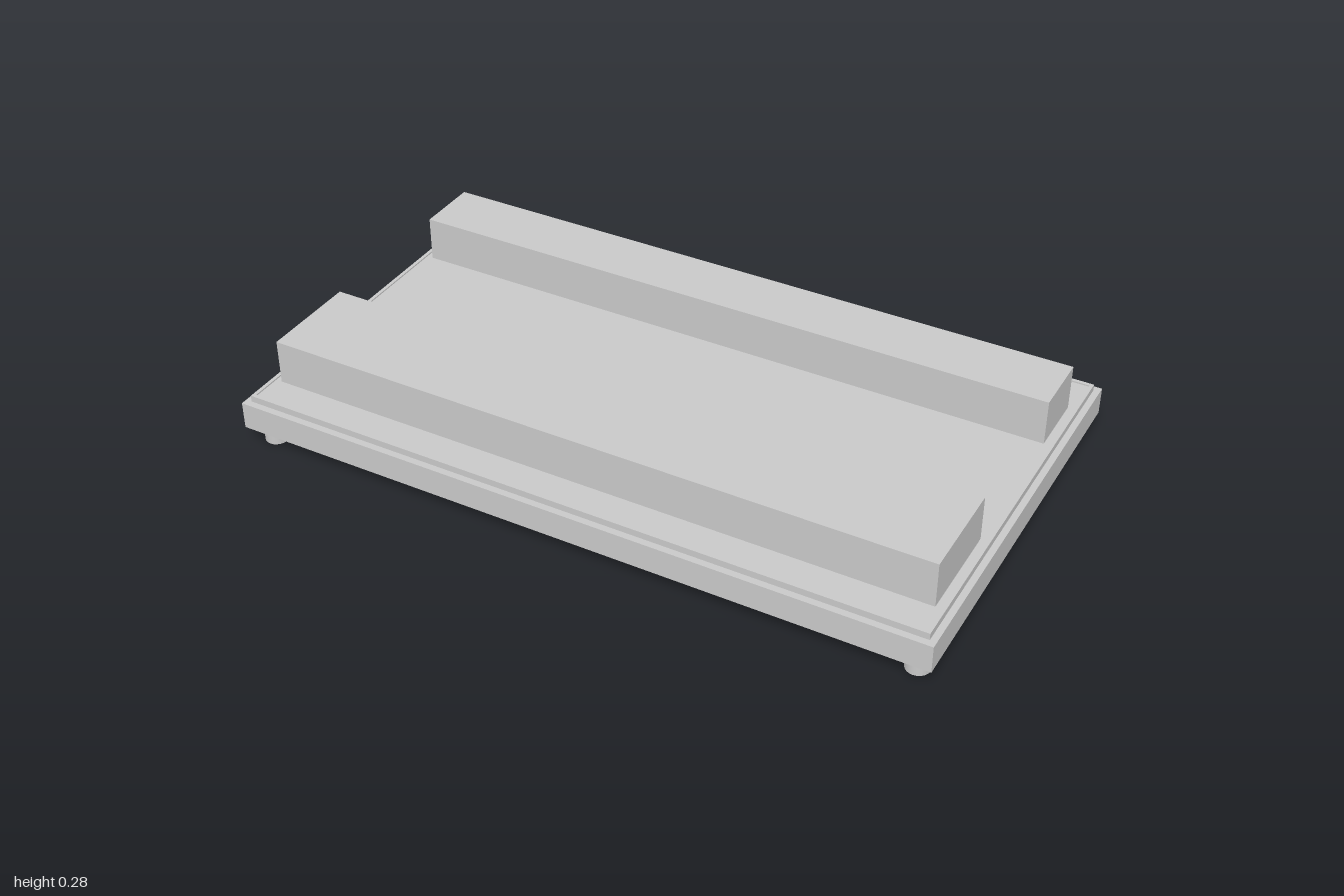
import * as THREE from 'three';

export function createModel() {
  const model = new THREE.Group();
  const grey = new THREE.MeshStandardMaterial({ color: 0xc8c8c8 });
  grey.name = 'light grey';

  const add = (name, geometry, x, y, z) => {
    const mesh = new THREE.Mesh(geometry, grey);
    mesh.name = name;
    mesh.position.set(x, y, z);
    model.add(mesh);
    return mesh;
  };
  // Box given by its width and its y and z ranges
  const box = (name, w, y0, y1, z0, z1, x = 0) =>
    add(name, new THREE.BoxGeometry(w, y1 - y0, z1 - z0), x, (y0 + y1) / 2, (z0 + z1) / 2);

  // Chassis slab and the raised deck on it
  box('base', 2, 0.054, 0.133, -0.585, 0.585);
  box('deck', 1.962, 0.133, 0.148, -0.565, 0.565);

  // Narrow raised rim around the deck
  const rectangle = (Type, w, d) => new Type().setFromPoints([
    new THREE.Vector2(-w, -d), new THREE.Vector2(w, -d),
    new THREE.Vector2(w, d), new THREE.Vector2(-w, d)
  ]);
  const rimShape = rectangle(THREE.Shape, 0.982, 0.566);
  rimShape.holes.push(rectangle(THREE.Path, 0.972, 0.556));
  const rim = new THREE.ExtrudeGeometry(rimShape, { depth: 0.019, bevelEnabled: false });
  rim.rotateX(-Math.PI / 2);
  add('deckRim', rim, 0, 0.133, 0);

  // Long blocks across the deck
  box('frontBlock', 1.908, 0.148, 0.277, 0.185, 0.469);
  box('rearBlock', 1.908, 0.148, 0.279, -0.438, -0.255);

  // Row of tall and short markers on the back of the rear block
  [...'0111011001101'].forEach((mark, i) => {
    const x = -0.912 + i * 0.152;
    if (mark === '1') box('tallMarker', 0.007, 0.197, 0.243, -0.443, -0.438, x);
    else box('shortMarker', 0.007, 0.224, 0.231, -0.443, -0.438, x);
  });

  // Small button on the rear deck
  box('button', 0.012, 0.148, 0.158, -0.526, -0.51, -0.89);

  // Four round feet
  for (const x of [-0.945, 0.945]) {
    for (const z of [-0.525, 0.525]) {
      add('foot', new THREE.CylinderGeometry(0.033, 0.033, 0.056, 20), x, 0.028, z);
    }
  }
  return model;
}
